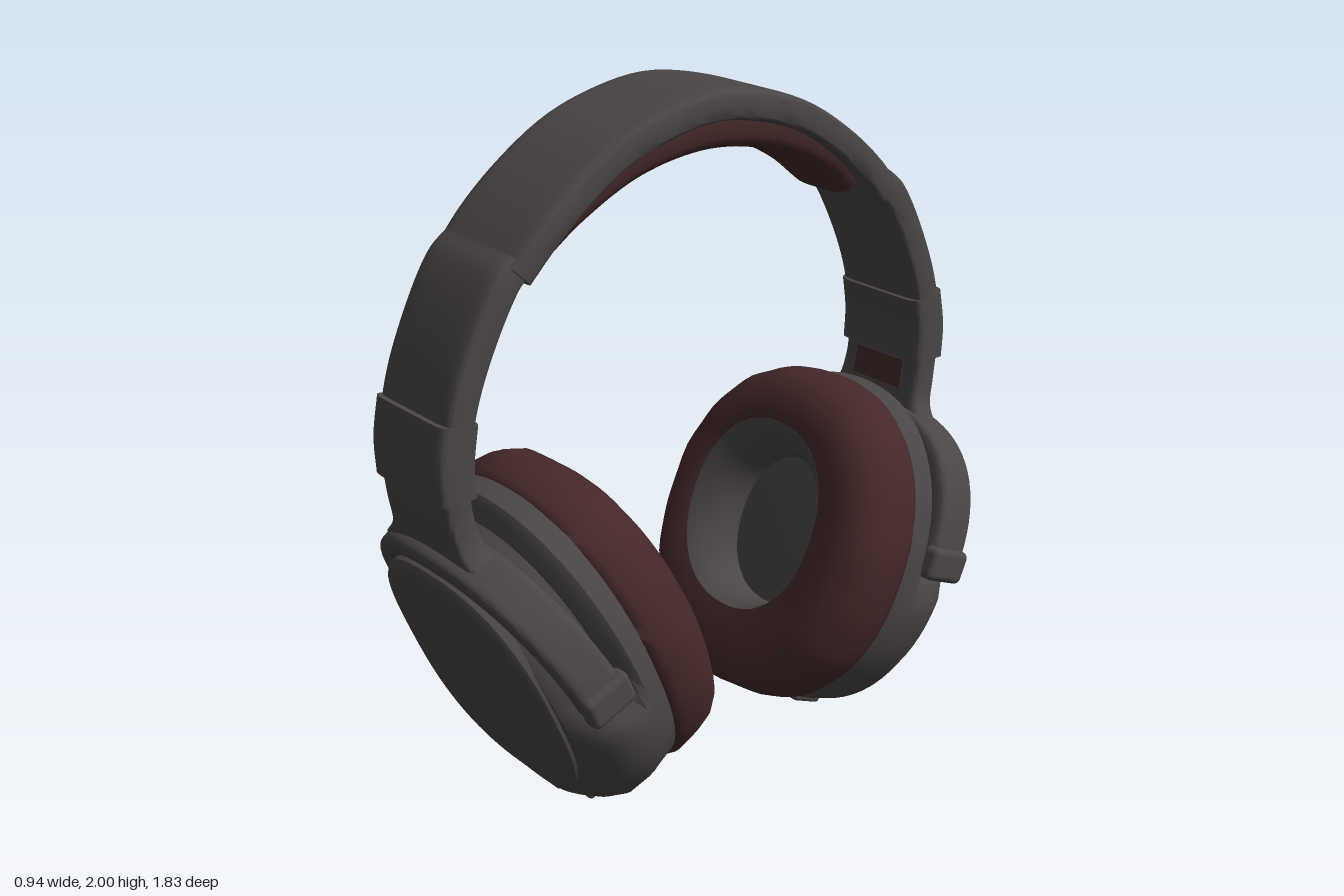
import * as THREE from 'three';
import { toCreasedNormals } from 'three/addons/utils/BufferGeometryUtils.js';
import { RoundedBoxGeometry } from 'three/addons/geometries/RoundedBoxGeometry.js';

const V = (x, y, z) => new THREE.Vector3(x, y, z);
const power = (c, e) => Math.sign(c) * Math.abs(c) ** (2 / e);

// Skin a list of closed rings, optionally closing both ends
function loft(rings, caps = true, crease = 0.7) {
  const n = rings[0].length;
  const middle = ring => {
    const c = ring.reduce((s, p) => s.add(p), V(0, 0, 0)).divideScalar(n);
    return ring.map(() => c);
  };
  const all = caps ? [middle(rings[0]), ...rings, middle(rings.at(-1))] : rings;
  const pos = [], idx = [];
  all.forEach(r => r.forEach(p => pos.push(p.x, p.y, p.z)));
  for (let i = 0; i < all.length - 1; i++) {
    for (let j = 0; j < n; j++) {
      const k = (j + 1) % n;
      const a = i * n + j, b = i * n + k, c = a + n, d = b + n;
      if (!caps || i > 0) idx.push(a, b, d);
      else { idx.push(a, d, c); continue; }
      if (!caps || i < all.length - 2) idx.push(a, d, c);
    }
  }
  const g = new THREE.BufferGeometry();
  g.setAttribute('position', new THREE.Float32BufferAttribute(pos, 3));
  g.setIndex(idx);
  return toCreasedNormals(g, crease);
}

// Strap along [halfWidth, y, z] points lying in the x = -0.03 plane
function strap(points, thickness, e = 7, steps = 24) {
  const curve = new THREE.CatmullRomCurve3(points.map(p => V(...p)));
  const rings = [];
  for (let i = 0; i <= steps; i++) {
    const p = curve.getPoint(i / steps), t = curve.getTangent(i / steps);
    t.x = 0;
    t.normalize();
    const ring = [];
    for (let j = 0; j < 40; j++) {
      const a = j / 40 * Math.PI * 2;
      const w = p.x * power(Math.cos(a), e), h = thickness / 2 * power(Math.sin(a), e);
      ring.push(V(-0.03 + w, p.y + t.z * h, p.z - t.y * h));
    }
    rings.push(ring);
  }
  return loft(rings);
}

// Rounded outline in the ear cup's own plane
function outline(z, rx, ry, cx = 0, cy = 0, e = 2.2, wave = 0) {
  return Array.from({ length: 72 }, (_, j) => {
    const a = j / 72 * Math.PI * 2;
    const s = 1 + wave * (Math.sin(a * 18) + Math.sin(a * 11 + 1));
    return V(cx + s * rx * power(Math.cos(a), e), cy + s * ry * power(Math.sin(a), e), z);
  });
}

// Cup outline with separate scales above and below the hinge line
function shellRing([z, upper, lower]) {
  return outline(z, 1, 1, 0, 0, 2.2).map(p => {
    const s = THREE.MathUtils.lerp(lower, upper, THREE.MathUtils.smoothstep(p.y, -0.12, 0.12));
    return V(p.x * 0.448 * s, p.y * 0.5 * s, z);
  });
}

function mirrorZ(geometry) {
  const g = geometry.index ? geometry.toNonIndexed() : geometry.clone();
  g.scale(1, 1, -1);
  for (const name of ['position', 'normal']) {
    const a = g.attributes[name].array;
    for (let i = 0; i < a.length; i += 9) {
      for (let k = 0; k < 3; k++) [a[i + k], a[i + 6 + k]] = [a[i + 6 + k], a[i + k]];
    }
  }
  return g;
}

export function createModel() {
  const model = new THREE.Group();
  model.name = 'headphones';
  const grey = new THREE.MeshStandardMaterial({ color: 0x4a4645 });
  grey.name = 'charcoal grey';
  const maroon = new THREE.MeshStandardMaterial({ color: 0x452829 });
  maroon.name = 'dark maroon';

  const add = (name, g, material) => {
    const m = new THREE.Mesh(g, material);
    m.name = name;
    model.add(m);
  };
  const pair = (name, g, material) => {
    add(name + 'Front', g, material);
    add(name + 'Back', mirrorZ(g), material);
  };
  const tilt = new THREE.Matrix4().makeRotationX(0.4).setPosition(0, 0.55, 0.455);
  const cupPart = (name, g, material) => pair(name, g.applyMatrix4(tilt), material);
  const box = (w, h, d, x, y, z, r = 0.012) =>
    new RoundedBoxGeometry(w, h, d, 3, r).translate(x, y, z);

  // Headband arch and its padding, built from one half profile
  const arch = half => [...half.slice(1).reverse().map(([w, y, z]) => [w, y, -z]), ...half];
  add('headband', strap(arch([[0.18, 1.955, 0], [0.18, 1.93, 0.17], [0.18, 1.88, 0.315],
    [0.18, 1.785, 0.465], [0.18, 1.695, 0.57], [0.175, 1.615, 0.645]]), 0.09, 7, 48), grey);
  add('headbandPad', strap(arch([[0.155, 1.888, 0], [0.155, 1.85, 0.25],
    [0.15, 1.755, 0.45], [0.13, 1.665, 0.56]]), 0.13, 3.5, 48), maroon);

  // Sliders, sleeves and lower arms
  pair('slider', strap([[0.16, 1.64, 0.635], [0.165, 1.6, 0.68], [0.165, 1.415, 0.78],
    [0.165, 1.26, 0.833], [0.165, 1.1, 0.85]], 0.095), grey);
  pair('sleeve', strap([[0.166, 1.26, 0.836], [0.168, 1.15, 0.853], [0.168, 1.055, 0.85]], 0.125), grey);
  pair('arm', strap([[0.16, 1.1, 0.855], [0.16, 0.99, 0.842], [0.175, 0.91, 0.822],
    [0.25, 0.84, 0.8]], 0.09), grey);
  pair('armInset', box(0.2, 0.09, 0.009, -0.03, 0, 0, 0.003).rotateX(0.17)
    .translate(0, 1.0, 0.798), maroon);

  // Ear cup shell, recessed above the hinge to clear the yoke
  cupPart('shell', loft([[-0.03, 0.95, 0.95], [0, 0.98, 0.98], [0.055, 1, 1], [0.075, 0.97, 1.01],
    [0.1, 0.88, 1.015], [0.16, 0.86, 1.01], [0.21, 0.84, 0.95], [0.25, 0.82, 0.87],
    [0.27, 0.79, 0.82]].map(shellRing)), grey);
  const plate = (z, s) => outline(z, 0.35 * s, 0.375 * s, -0.01, 0.02, 2.6);
  cupPart('outerPlate', loft([plate(0.24, 1), plate(0.28, 1), plate(0.292, 0.97),
    plate(0.297, 0.92), plate(0.298, 0.5)]), grey);

  // Cushion ring with lining and inner plate
  const cushion = (z, s, x = 0, y = 0, wave = 0) =>
    outline(z, 0.453 * s, 0.5 * s, x - 0.005, y - 0.01, 2.2, wave);
  const lip = cushion(-0.198, 0.58, -0.03, 0.03);
  cupPart('cushion', loft([lip, cushion(-0.214, 0.7), cushion(-0.205, 0.82, 0, 0, 0.003),
    cushion(-0.175, 0.92, 0, 0, 0.004), cushion(-0.13, 0.98, 0, 0, 0.004),
    cushion(-0.08, 1, 0, 0, 0.003), cushion(-0.03, 1.005, 0, 0, 0.003),
    cushion(0, 0.98), cushion(0.01, 0.9)], false, 1), maroon);
  cupPart('lining', loft([cushion(-0.03, 0.45), cushion(-0.12, 0.465),
    cushion(-0.17, 0.5, -0.01, 0.01), lip], false, 1), grey);
  cupPart('innerPlate', loft([cushion(-0.055, 0.2), cushion(-0.05, 0.47),
    cushion(-0.02, 0.47)]), grey);

  // Yoke arching over the upper half of the cup
  const yoke = [];
  for (let i = 0; i <= 40; i++) {
    const a = 0.08 + i / 40 * (Math.PI - 0.16);
    const c = Math.cos(a), s = Math.sin(a);
    const ring = [];
    for (let j = 0; j < 24; j++) {
      const b = j / 24 * Math.PI * 2;
      const r = 0.034 * power(Math.sin(b), 4), d = 0.068 * power(Math.cos(b), 4);
      ring.push(V((0.418 + r) * power(c, 2.4), (0.43 + r) * power(s, 2.4), 0.16 + 0.05 * s + d));
    }
    yoke.push(ring);
  }
  cupPart('yoke', loft(yoke), grey);
  for (const side of [1, -1]) {
    cupPart(side > 0 ? 'leftHinge' : 'rightHinge',
      box(0.06, 0.1, 0.15, side * 0.438, 0.06, 0.16, 0.02), grey);
  }

  // Foot tab and port under the cup
  cupPart('footTab', box(0.23, 0.035, 0.11, 0, -0.497, 0.15), grey);
  cupPart('port', box(0.11, 0.1, 0.06, 0, -0.41, 0.225), grey);
  return model;
}
